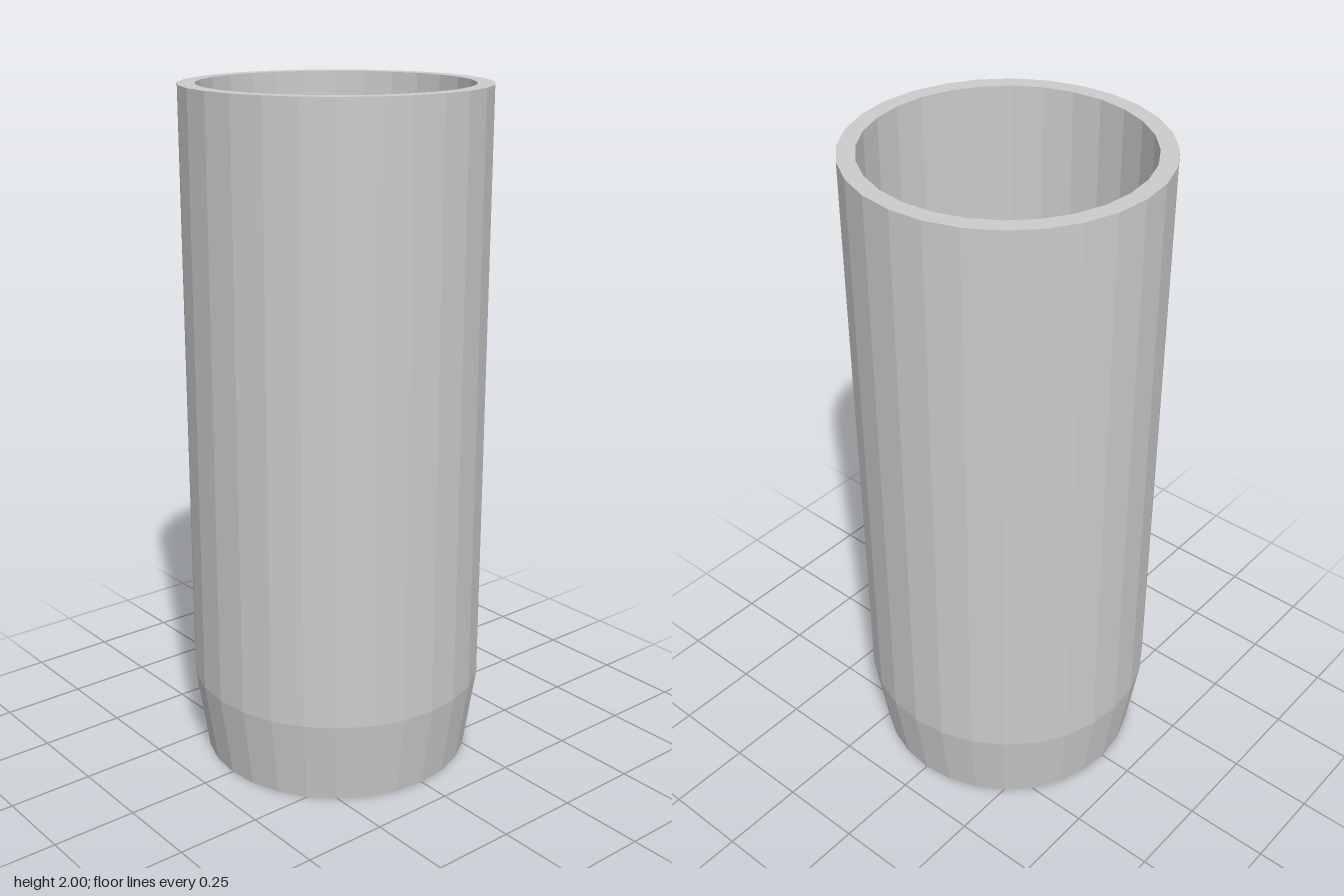
import * as THREE from 'three';

const SIDES = 28;

export function createModel() {
  const group = new THREE.Group();
  group.name = 'tumbler';
  const material = new THREE.MeshStandardMaterial({ color: 0xcccccc, flatShading: true });

  const addLathe = (name, points) => {
    const profile = points.map(([r, y]) => new THREE.Vector2(r, y));
    const mesh = new THREE.Mesh(new THREE.LatheGeometry(profile, SIDES), material);
    mesh.name = name;
    group.add(mesh);
  };

  // Outer wall: flat base, tapered foot, straight side
  addLathe('outerWall', [[0, 0], [0.4, 0], [0.437, 0.25], [0.437, 2]]);
  // Flat ring around the mouth
  addLathe('rim', [[0.437, 2], [0.388, 2]]);
  // Inner wall: straight side, tapered foot, flat floor
  addLathe('innerWall', [[0.388, 2], [0.388, 0.25], [0.351, 0.05], [0, 0.05]]);

  return group;
}
